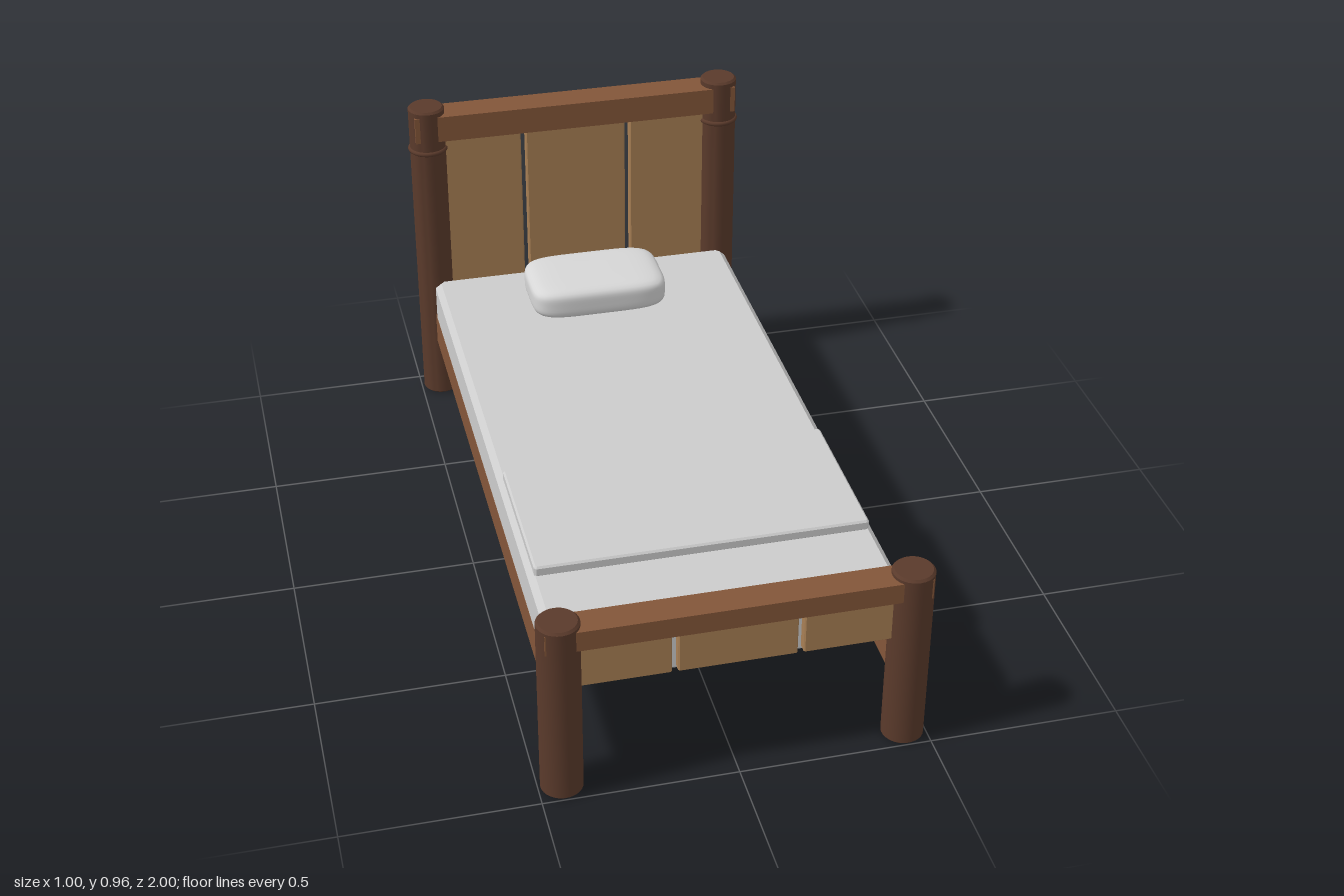
import * as THREE from 'three';
import { mergeVertices, toCreasedNormals } from 'three/addons/utils/BufferGeometryUtils.js';

const material = (name, color) => {
  const m = new THREE.MeshStandardMaterial({ color });
  m.name = name;
  return m;
};

// Box with chamfered edges and clipped plan corners
function chamferBox(w, h, d, c) {
  const x = w / 2 - c, z = d / 2 - c, k = c * 0.6;
  const shape = new THREE.Shape([
    [x, -z + k], [x, z - k], [x - k, z], [-x + k, z],
    [-x, z - k], [-x, -z + k], [-x + k, -z], [x - k, -z],
  ].map(([a, b]) => new THREE.Vector2(a, b)));
  const g = new THREE.ExtrudeGeometry(shape, {
    depth: h - 2 * c, bevelThickness: c, bevelSize: c, bevelSegments: 1,
  });
  g.rotateX(-Math.PI / 2);
  return g.center();
}

// Round post with softened ends
function postGeometry(r, h) {
  const b = 0.006;
  const points = [[0, 0], [r - b, 0], [r, b], [r, h - b], [r - b, h], [0, h]]
    .map(([x, y]) => new THREE.Vector2(x, y));
  return toCreasedNormals(new THREE.LatheGeometry(points, 32), 0.5);
}

// Soft cushion: a subdivided box pulled onto a rounded superellipsoid
function cushionGeometry(w, h, d) {
  let g = new THREE.BoxGeometry(2, 2, 2, 20, 12, 20);
  g.deleteAttribute('uv');
  g.deleteAttribute('normal');
  g = mergeVertices(g);
  const p = g.attributes.position, n = 5;
  for (let i = 0; i < p.count; i++) {
    const v = new THREE.Vector3().fromBufferAttribute(p, i);
    const s = (Math.abs(v.x) ** n + Math.abs(v.y) ** n + Math.abs(v.z) ** n) ** (-1 / n);
    p.setXYZ(i, v.x * s * w / 2, v.y * s * h / 2, v.z * s * d / 2);
  }
  g.computeVertexNormals();
  return g;
}

export function createModel() {
  const bed = new THREE.Group();
  bed.name = 'bed';
  const darkWood = material('dark wood', 0x5a3a2b);
  const railWood = material('rail wood', 0x835639);
  const panelWood = material('panel wood', 0xa87f54);
  const linen = material('linen', 0xcccccc);
  const pillowCloth = material('pillow cloth', 0xd6d6d6);

  const add = (parent, name, geometry, mat, x, y, z) => {
    const mesh = new THREE.Mesh(geometry, mat);
    mesh.name = name;
    mesh.position.set(x, y, z);
    parent.add(mesh);
    return mesh;
  };

  // Headboard and footboard: two posts, a top rail and three panels each
  const postX = 0.44, panelBottom = 0.318;
  const boards = [
    { name: 'headboard', z: -0.942, r: 0.053, height: 0.96, low: 0.862, high: 0.94, depth: 0.092, ring: true },
    { name: 'footboard', z: 0.946, r: 0.054, height: 0.517, low: 0.447, high: 0.503, depth: 0.08 },
  ];
  for (const b of boards) {
    const group = new THREE.Group();
    group.name = b.name;
    group.position.z = b.z;
    bed.add(group);
    for (const side of [1, -1]) {
      const label = side > 0 ? 'left' : 'right';
      add(group, `${label}Post`, postGeometry(b.r, b.height), darkWood, side * postX, 0, 0);
      if (b.ring) {
        const ring = new THREE.TorusGeometry(b.r - 0.002, 0.0075, 10, 32).rotateX(Math.PI / 2);
        add(group, `${label}PostRing`, ring, darkWood, side * postX, 0.827, 0);
      }
    }
    // Rail ends run through the posts
    add(group, 'topRail', new THREE.BoxGeometry(0.96, b.high - b.low, b.depth), railWood,
      0, (b.low + b.high) / 2, 0);
    const top = b.low + 0.02, h = top - panelBottom;
    for (const [x0, x1] of [[-0.42, -0.165], [-0.15, 0.15], [0.165, 0.42]]) {
      add(group, 'panel', chamferBox(x1 - x0, h, 0.03, 0.003), panelWood,
        (x0 + x1) / 2, panelBottom + h / 2, 0);
    }
  }

  // Side rails
  for (const side of [1, -1]) {
    add(bed, side > 0 ? 'leftSideRail' : 'rightSideRail',
      new THREE.BoxGeometry(0.05, 0.095, 1.84), railWood, side * 0.426, 0.2375, 0);
  }

  // Bedding
  add(bed, 'mattress', chamferBox(0.9, 0.14, 1.79, 0.017), linen, 0, 0.335, 0.003);
  add(bed, 'foldedBlanket', chamferBox(0.872, 0.03, 0.44, 0.005), linen, 0, 0.417, 0.405);
  add(bed, 'pillow', cushionGeometry(0.4, 0.097, 0.255), pillowCloth, 0, 0.456, -0.682);

  return bed;
}
